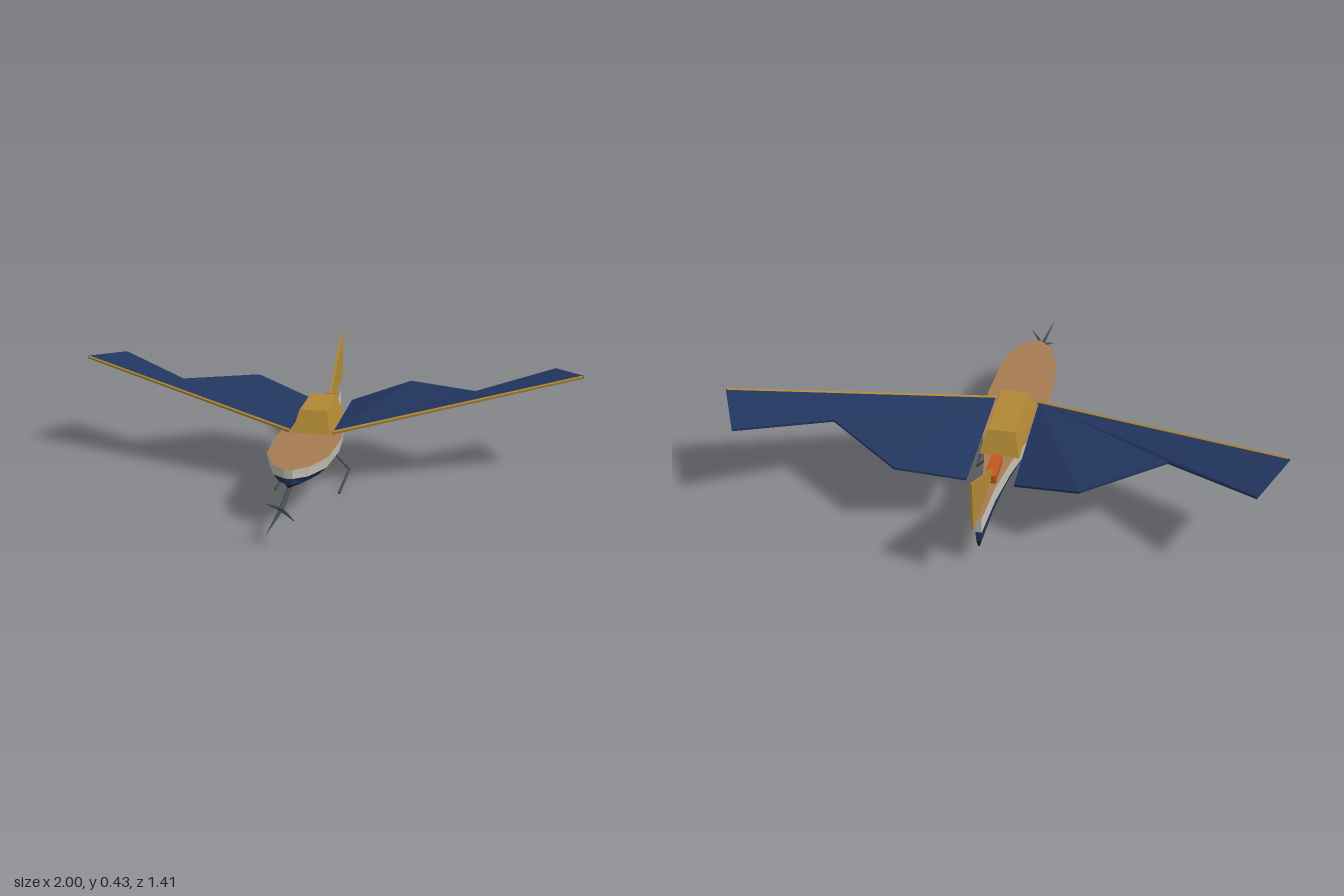
import * as THREE from 'three';

const mat = (name, color) => {
  const m = new THREE.MeshStandardMaterial({ color, flatShading: true });
  m.name = name;
  return m;
};

export function createModel() {
  const model = new THREE.Group();
  model.name = 'wingedBoat';
  const cream = mat('cream', 0xc8c4b4);
  const navy = mat('navy', 0x22365f);
  const black = mat('black', 0x1e1e21);
  const brown = mat('deckBrown', 0xa67c52);
  const gold = mat('gold', 0xb08835);
  const orange = mat('orange', 0xc4561f);
  const slate = mat('slate', 0x454a52);

  const add = (name, geometry, material) => {
    const mesh = new THREE.Mesh(geometry, material);
    mesh.name = name;
    model.add(mesh);
    return mesh;
  };

  // Collects flat faces; flip reverses the winding for mirrored parts
  const faces = () => {
    const pos = [];
    const tri = (a, b, c, flip) => pos.push(...a, ...(flip ? c : b), ...(flip ? b : c));
    return {
      tri,
      quad(a, b, c, d, flip) { tri(a, b, c, flip); tri(a, c, d, flip); },
      geometry() {
        const g = new THREE.BufferGeometry();
        g.setAttribute('position', new THREE.Float32BufferAttribute(pos, 3));
        g.computeVertexNormals();
        return g;
      },
    };
  };

  // Round rod from a to b, radius ra at a and rb at b
  const rod = (name, a, b, ra, rb, material, sides = 8) => {
    const p = new THREE.Vector3(...a), q = new THREE.Vector3(...b);
    const d = q.clone().sub(p);
    const mesh = add(name, new THREE.CylinderGeometry(rb, ra, d.length(), sides), material);
    mesh.position.copy(p).add(q).multiplyScalar(0.5);
    mesh.quaternion.setFromUnitVectors(new THREE.Vector3(0, 1, 0), d.normalize());
    return mesh;
  };

  // Hull: stations [z, half width], three painted bands and a deck
  const deckY = 0.205;
  const stations = [[0.485, 0.015], [0.44, 0.065], [0.32, 0.11], [0.1, 0.122], [-0.08, 0.108],
    [-0.18, 0.082], [-0.3, 0.05], [-0.45, 0.024], [-0.615, 0.012]];
  const rows = [[0, 1], [0.5, 0.93], [0.82, 0.68], [1, 0.25]]; // [depth, width] fractions
  const hullPoint = (i, r, s) => {
    const [z, w] = stations[i];
    const keelY = 0.078 + 0.062 * ((z + 0.615) / 1.1) ** 2;
    return [s * w * rows[r][1], deckY + (keelY - deckY) * rows[r][0], z];
  };
  const last = stations.length - 1;
  const acrossHull = (f, r, flip) => {
    for (let i = 0; i < last; i++) {
      f.quad(hullPoint(i, r, -1), hullPoint(i, r, 1), hullPoint(i + 1, r, 1), hullPoint(i + 1, r, -1), flip);
    }
  };
  [['hullUpperBand', cream], ['hullMiddleBand', navy], ['hullBottom', black]].forEach(([name, m], r) => {
    const f = faces();
    for (const s of [1, -1]) {
      for (let i = 0; i < last; i++) {
        f.quad(hullPoint(i, r, s), hullPoint(i, r + 1, s),
          hullPoint(i + 1, r + 1, s), hullPoint(i + 1, r, s), s < 0);
      }
    }
    for (const i of [0, last]) { // bow and stern ends
      f.quad(hullPoint(i, r, -1), hullPoint(i, r + 1, -1),
        hullPoint(i, r + 1, 1), hullPoint(i, r, 1), i === last);
    }
    if (r === 2) acrossHull(f, 3, true);
    add(name, f.geometry(), m);
  });
  const deck = faces();
  acrossHull(deck, 0, false);
  add('deck', deck.geometry(), brown);

  // Cabin: box narrowed toward the roof
  const cabinGeo = new THREE.BoxGeometry(0.146, 0.08, 0.335);
  const cp = cabinGeo.attributes.position;
  for (let i = 0; i < cp.count; i++) {
    if (cp.getY(i) > 0) cp.setXYZ(i, cp.getX(i) * 0.69, cp.getY(i), cp.getZ(i) * 0.73);
  }
  cabinGeo.computeVertexNormals();
  add('cabin', cabinGeo, gold).position.set(0, 0.244, -0.11);

  // Wings: thin faceted plates with a gold leading edge
  const outline = [[0.085, 0.213, 0.05], [1, 0.377, -0.31], [0.9, 0.357, -0.505],
    [0.6, 0.297, -0.31], [0.32, 0.28, -0.505], [0.085, 0.207, -0.43]];
  for (const s of [1, -1]) {
    const side = s > 0 ? 'left' : 'right';
    const f = faces();
    const top = outline.map(([x, y, z]) => [s * x, y + 0.004, z]);
    const low = outline.map(([x, y, z]) => [s * x, y - 0.005, z]);
    const n = outline.length;
    for (let i = 0; i < n; i++) {
      const j = (i + 1) % n;
      if (i > 0 && j > 0) {
        f.tri(top[0], top[i], top[j], s < 0);
        f.tri(low[0], low[i], low[j], s > 0);
      }
      f.quad(top[i], low[i], low[j], top[j], s < 0);
    }
    add(side + 'Wing', f.geometry(), navy);
    rod(side + 'WingLeadingEdge', [s * 0.08, 0.212, 0.055], [s * 0.996, 0.376, -0.308],
      0.008, 0.007, gold, 6);

    // Leg and skid
    rod(side + 'Leg', [s * 0.06, 0.076, -0.125], [s * 0.12, 0.013, -0.125], 0.004, 0.004, slate, 6);
    rod(side + 'Skid', [s * 0.12, 0.014, -0.128], [s * 0.12, 0.006, 0.135], 0.005, 0.005, slate, 6);
  }

  // Tail block and upright fin
  add('tailBlock', new THREE.BoxGeometry(0.04, 0.032, 0.12), orange).position.set(0, 0.221, -0.37);
  const finShape = new THREE.Shape([[0.355, 0.215], [0.705, 0.235], [0.705, 0.432]]
    .map(([u, v]) => new THREE.Vector2(u, v)));
  const finGeo = new THREE.ExtrudeGeometry(finShape, { depth: 0.009, bevelEnabled: false });
  finGeo.translate(0, 0, -0.0045).rotateY(Math.PI / 2);
  add('tailFin', finGeo, gold);

  // Bow arm with a three-pronged claw
  rod('bowArm', [0, 0.133, 0.455], [0, 0.108, 0.615], 0.009, 0.009, slate);
  for (let k = 0; k < 3; k++) {
    const a = (k * Math.PI * 2) / 3;
    rod('clawProng' + (k + 1), [0, 0.108, 0.605],
      [0.062 * Math.cos(a), 0.107 + 0.062 * Math.sin(a), 0.703], 0.008, 0.001, slate, 6);
  }
  return model;
}
